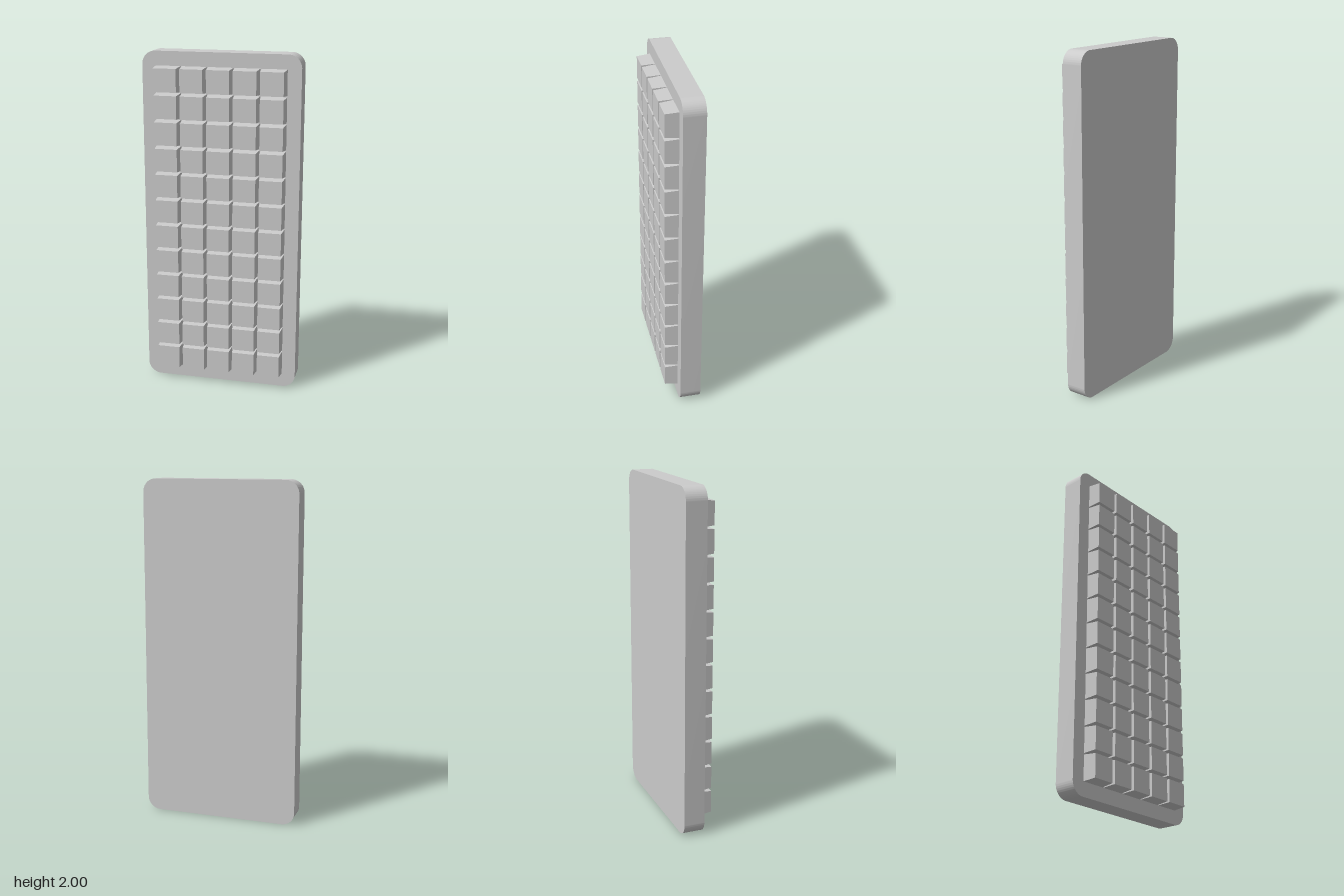
import * as THREE from 'three';
import { toCreasedNormals } from 'three/addons/utils/BufferGeometryUtils.js';

const WIDTH = 0.92, HEIGHT = 2, RADIUS = 0.077;
const BACK = -0.1, FACE = 0.023, KEY_TOP = 0.1;
const COLS = 5, ROWS = 12, PITCH = 0.1535;
const KEY_BASE = 0.146, KEY_FACE = 0.133;

// Rounded rectangle centred on the origin
function roundedRect(w, h, r) {
  const x = w / 2, y = h / 2;
  const s = new THREE.Shape();
  s.absarc(x - r, y - r, r, 0, Math.PI / 2);
  s.absarc(-x + r, y - r, r, Math.PI / 2, Math.PI);
  s.absarc(-x + r, -y + r, r, Math.PI, Math.PI * 1.5);
  s.absarc(x - r, -y + r, r, Math.PI * 1.5, Math.PI * 2);
  s.closePath();
  return s;
}

// Box that narrows towards its front face
function taperedKey() {
  const depth = KEY_TOP - FACE;
  const g = new THREE.BoxGeometry(KEY_BASE, KEY_BASE, depth);
  const p = g.attributes.position, k = KEY_FACE / KEY_BASE;
  for (let i = 0; i < p.count; i++) {
    if (p.getZ(i) > 0) p.setXY(i, p.getX(i) * k, p.getY(i) * k);
  }
  g.computeVertexNormals();
  return g.translate(0, 0, FACE + depth / 2);
}

export function createModel() {
  const model = new THREE.Group();
  model.name = 'keypadPanel';
  const material = new THREE.MeshStandardMaterial({ color: 0xcccccc });

  // Backing slab with rounded corners
  const slab = toCreasedNormals(new THREE.ExtrudeGeometry(
    roundedRect(WIDTH, HEIGHT, RADIUS),
    { depth: FACE - BACK, bevelEnabled: false, curveSegments: 16 }
  ), 0.6);
  const body = new THREE.Mesh(slab, material);
  body.name = 'body';
  body.position.set(0, HEIGHT / 2, BACK);
  model.add(body);

  // Grid of keys
  const keys = new THREE.Group();
  keys.name = 'keys';
  const keyGeometry = taperedKey();
  for (let row = 0; row < ROWS; row++) {
    for (let col = 0; col < COLS; col++) {
      const key = new THREE.Mesh(keyGeometry, material);
      key.name = `keyRow${row + 1}Column${col + 1}`;
      key.position.set((col - (COLS - 1) / 2) * PITCH, HEIGHT / 2 + (row - (ROWS - 1) / 2) * PITCH, 0);
      keys.add(key);
    }
  }
  model.add(keys);
  return model;
}
